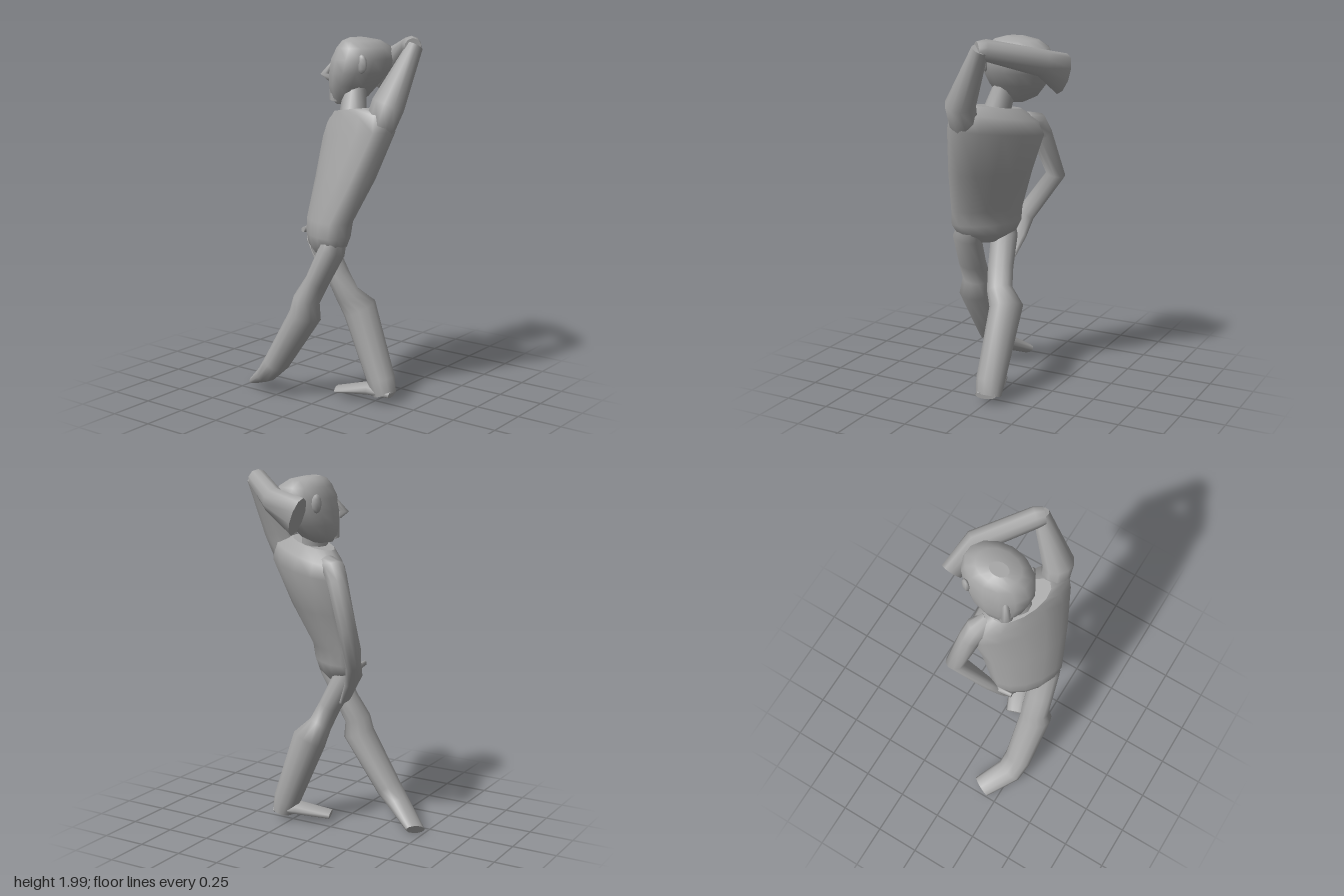
import * as THREE from 'three';

const V = (x, y, z) => new THREE.Vector3(x, y, z);

// Skin a row of elliptical sections {c, u, v}; ends closed with flat caps
function loft(sections, sides) {
  const pos = [], idx = [];
  const ring = (s) => {
    const start = pos.length / 3;
    for (let j = 0; j < sides; j++) {
      const a = (j / sides) * Math.PI * 2;
      const p = s.c.clone().addScaledVector(s.u, Math.cos(a)).addScaledVector(s.v, Math.sin(a));
      pos.push(p.x, p.y, p.z);
    }
    return start;
  };
  const starts = sections.map(ring);
  for (let i = 0; i < starts.length - 1; i++) {
    for (let j = 0; j < sides; j++) {
      const k = (j + 1) % sides;
      const a = starts[i] + j, b = starts[i] + k, c = starts[i + 1] + j, d = starts[i + 1] + k;
      idx.push(a, b, c, b, d, c);
    }
  }
  [sections[0], sections[sections.length - 1]].forEach((s, end) => {
    const st = ring(s), mid = pos.length / 3;
    pos.push(s.c.x, s.c.y, s.c.z);
    for (let j = 0; j < sides; j++) {
      const a = st + j, b = st + ((j + 1) % sides);
      if (end) idx.push(mid, a, b); else idx.push(mid, b, a);
    }
  });
  const g = new THREE.BufferGeometry();
  g.setAttribute('position', new THREE.Float32BufferAttribute(pos, 3));
  g.setIndex(idx);
  g.computeVertexNormals();
  return g;
}

// Limb along points [x, y, z, radius along wide, radius across]
function limb(points, wide, sides = 10) {
  const p = points.map((q) => V(q[0], q[1], q[2]));
  return loft(points.map((q, i) => {
    const t = V(0, 0, 0);
    if (i > 0) t.add(p[i].clone().sub(p[i - 1]).normalize());
    if (i < p.length - 1) t.add(p[i + 1].clone().sub(p[i]).normalize());
    t.normalize();
    const u = wide.clone().addScaledVector(t, -wide.dot(t)).normalize();
    const v = t.clone().cross(u);
    return { c: p[i], u: u.multiplyScalar(q[3]), v: v.multiplyScalar(q[4]) };
  }), sides);
}

export function createModel() {
  const model = new THREE.Group();
  model.name = 'figure';
  const grey = new THREE.MeshStandardMaterial({ color: 0xa6a6a6 });
  grey.name = 'grey';
  const add = (name, geometry, parent = model) => {
    const m = new THREE.Mesh(geometry, grey);
    m.name = name;
    parent.add(m);
    return m;
  };
  const X = V(1, 0, 0), Y = V(0, 1, 0), Z = V(0, 0, 1);

  // Torso, left side turned forward: [x, y, z, half width, half depth, shoulder lift, turn in degrees]
  const torso = [
    [0.03, 0.84, 0.15, 0.07, 0.06, 0, 40],
    [0.03, 0.89, 0.14, 0.17, 0.1, 0, 40],
    [0.035, 0.95, 0.14, 0.205, 0.115, 0, 40],
    [0.04, 1.03, 0.135, 0.21, 0.118, 0, 39],
    [0.1, 1.25, 0.08, 0.25, 0.14, 0.01, 32],
    [0.145, 1.48, 0.02, 0.3, 0.15, 0.04, 26],
    [0.145, 1.56, 0.022, 0.285, 0.12, 0.05, 26],
    [0.13, 1.61, 0.04, 0.17, 0.08, 0.025, 26],
  ];
  add('torso', loft(torso.map(([x, y, z, a, b, lift, deg]) => {
    const c = Math.cos(deg * Math.PI / 180), s = Math.sin(deg * Math.PI / 180);
    return { c: V(x, y, z), u: V(c * a, lift, s * a), v: V(s * b, 0, -c * b) };
  }), 14));
  add('neck', limb([[0.12, 1.56, 0.04, 0.075, 0.075], [0.1, 1.72, -0.01, 0.06, 0.06]], X));

  // Head, in its own frame facing +z: [height, front, back, half width, sideways shift]
  const head = new THREE.Group();
  head.name = 'head';
  head.position.set(0.08, 0, -0.05);
  head.rotation.y = Math.atan2(-0.75, 0.66);
  model.add(head);
  const rings = [
    [1.63, 0.11, 0, 0.05, -0.015],
    [1.665, 0.135, -0.07, 0.095, -0.025],
    [1.73, 0.15, -0.13, 0.135, -0.02],
    [1.8, 0.15, -0.185, 0.163, -0.01],
    [1.87, 0.14, -0.215, 0.168, -0.01],
    [1.93, 0.11, -0.19, 0.15, -0.01],
    [1.965, 0.08, -0.13, 0.105, -0.01],
    [1.98, 0.04, -0.05, 0.045, -0.01],
  ];
  add('skull', loft(rings.map(([y, f, b, w, s]) => ({
    c: V(s, y, (f + b) / 2), u: V((f - b) * 0.15, 0, (f - b) / 2), v: V(w, 0, 0),
  })), 14), head);
  add('nose', limb([
    [0, 1.85, 0.12, 0.015, 0.015], [-0.01, 1.79, 0.17, 0.024, 0.026], [0, 1.765, 0.14, 0.02, 0.02],
  ], X, 6), head);
  add('chin', limb([[0, 1.72, 0.1, 0.05, 0.045], [0, 1.645, 0.115, 0.04, 0.03]], X, 8), head);
  for (const s of [-1, 1]) {
    const ear = add(s > 0 ? 'leftEar' : 'rightEar', new THREE.SphereGeometry(1, 8, 6), head);
    ear.scale.set(0.016, 0.05, 0.03);
    ear.position.set(-0.01 + s * 0.165, 1.85, -0.01);
    ear.rotation.y = s * -0.35;
  }

  // Raised left arm, folded behind the head
  add('leftUpperArm', limb([
    [0.32, 1.47, 0.1, 0.05, 0.04], [0.345, 1.55, 0.105, 0.085, 0.075], [0.388, 1.655, 0.1, 0.09, 0.08],
    [0.45, 1.95, -0.05, 0.04, 0.045],
  ], X));
  add('leftForearm', limb([
    [0.45, 1.945, -0.03, 0.045, 0.045], [0.42, 1.945, -0.06, 0.055, 0.055],
    [0.19, 1.865, -0.265, 0.07, 0.06], [0.02, 1.79, -0.3, 0.11, 0.05],
  ], Y));

  // Lowered right arm, broad hand on the hip
  add('rightArm', limb([
    [-0.02, 1.52, -0.07, 0.05, 0.05], [-0.08, 1.5, -0.1, 0.065, 0.06], [-0.115, 1.43, -0.12, 0.06, 0.055],
    [-0.2, 1.2, -0.165, 0.055, 0.05], [-0.15, 0.97, -0.01, 0.055, 0.035],
    [-0.12, 0.87, 0.045, 0.08, 0.025], [-0.055, 0.74, 0.065, 0.055, 0.015],
  ], Z));
  add('rightThumb', limb([[-0.14, 0.94, 0.02, 0.025, 0.02], [-0.135, 0.945, 0.145, 0.015, 0.012]], Y, 6));

  // Left leg crosses in front, with its foot pointing out
  add('leftLeg', limb([
    [0.12, 0.96, 0.19, 0.07, 0.06], [0.115, 0.87, 0.22, 0.082, 0.068], [0.03, 0.7, 0.235, 0.08, 0.06],
    [-0.035, 0.59, 0.245, 0.082, 0.07], [-0.037, 0.505, 0.255, 0.092, 0.086],
    [-0.235, 0.205, 0.257, 0.08, 0.068], [-0.31, 0.125, 0.243, 0.078, 0.052],
    [-0.465, 0.035, 0.14, 0.065, 0.027],
  ], Z, 12));

  // Right leg crosses behind
  add('rightLeg', limb([
    [-0.06, 0.95, 0.09, 0.065, 0.06], [-0.05, 0.86, 0.075, 0.075, 0.07], [0.035, 0.7, 0.055, 0.073, 0.06],
    [0.085, 0.59, 0.035, 0.073, 0.065], [0.122, 0.51, -0.025, 0.092, 0.098],
    [0.28, 0.13, -0.01, 0.08, 0.077], [0.305, 0.055, -0.01, 0.072, 0.06],
  ], Z, 12));
  add('rightFoot', limb([
    [0.35, 0.065, -0.015, 0.06, 0.02], [0.22, 0.078, 0.01, 0.07, 0.035], [0.04, 0.052, 0.07, 0.055, 0.018],
  ], Z));
  return model;
}
